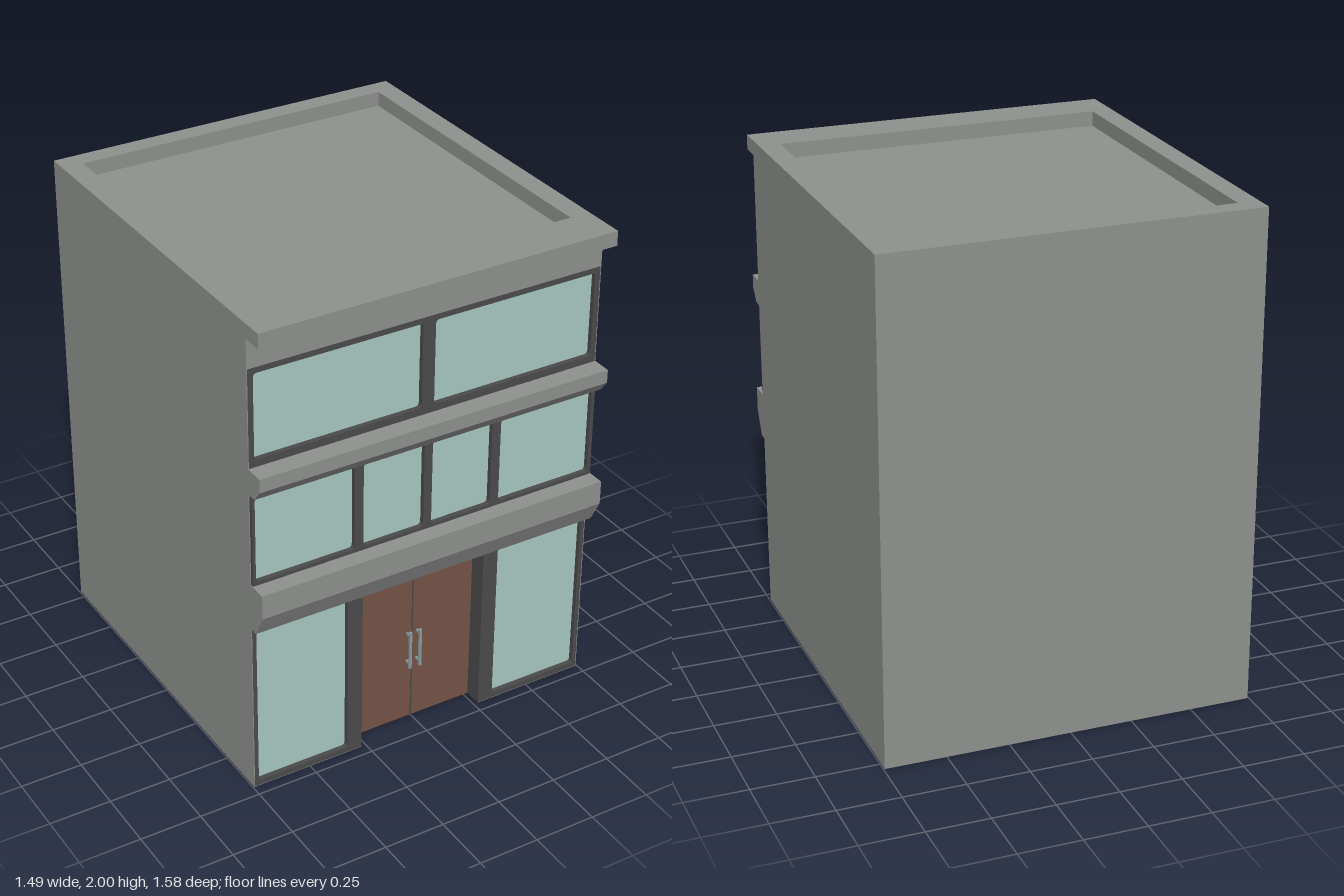
import * as THREE from 'three';

const mat = (name, color) => {
  const m = new THREE.MeshStandardMaterial({ color });
  m.name = name;
  return m;
};

// Key dimensions
const W = 0.745, SKIN = 0.003, IN = W - SKIN;
const BACK = -0.79, FRONT = 0.705, CORE = 0.68, LEDGE = 0.79;
const DOOR_W = 0.273, DOOR_H = 0.71, DOOR_Z = 0.63;

export function createModel() {
  const concrete = mat('concrete', 0x8e908e);
  const frame = mat('window frame', 0x4b4b4b);
  const glass = mat('glass', 0xa7c8c2);
  const wood = mat('door wood', 0x755246);
  const metal = mat('handle metal', 0x8c9ca0);

  const model = new THREE.Group();
  model.name = 'building';

  const add = (name, geometry, material) => {
    const mesh = new THREE.Mesh(geometry, material);
    mesh.name = name;
    model.add(mesh);
    return mesh;
  };
  // Box given by its limits on each axis
  const box = (name, material, x0, x1, y0, y1, z0, z1) => {
    const g = new THREE.BoxGeometry(x1 - x0, y1 - y0, z1 - z0);
    g.translate((x0 + x1) / 2, (y0 + y1) / 2, (z0 + z1) / 2);
    return add(name, g, material);
  };
  const polygon = (pts) => new THREE.Shape(pts.map(([a, b]) => new THREE.Vector2(a, b)));
  // Side profile of [z, y] points swept along x
  const sweep = (name, pts, x0, x1) => {
    const g = new THREE.ExtrudeGeometry(polygon(pts), { depth: x1 - x0, bevelEnabled: false });
    g.rotateY(-Math.PI / 2);
    g.translate(x1, 0, 0);
    return add(name, g, concrete);
  };
  const roundedHole = (x0, x1, y0, y1, r = 0.016) => {
    const p = new THREE.Path();
    p.moveTo(x0 + r, y0);
    p.lineTo(x1 - r, y0).quadraticCurveTo(x1, y0, x1, y0 + r);
    p.lineTo(x1, y1 - r).quadraticCurveTo(x1, y1, x1 - r, y1);
    p.lineTo(x0 + r, y1).quadraticCurveTo(x0, y1, x0, y1 - r);
    p.lineTo(x0, y0 + r).quadraticCurveTo(x0, y0, x0 + r, y0);
    return p;
  };
  // Frame panel with rounded openings and a glass pane set back in each
  const windowRow = (name, outline, spans, y0, y1, zFront) => {
    const shape = polygon(outline);
    spans.forEach(([x0, x1]) => shape.holes.push(roundedHole(x0, x1, y0, y1)));
    const g = new THREE.ExtrudeGeometry(shape, {
      depth: zFront - CORE, bevelEnabled: false, curveSegments: 5,
    });
    g.translate(0, 0, CORE);
    add(name + 'Frame', g, frame);
    spans.forEach(([x0, x1]) =>
      box(name + 'Glass', glass, x0 - 0.004, x1 + 0.004, y0 - 0.004, y1 + 0.004, zFront - 0.025, zFront - 0.02));
  };
  const rect = (y0, y1) => [[-IN, y0], [IN, y0], [IN, y1], [-IN, y1]];

  // Main block, with the ground floor split around the entrance
  box('upperBlock', concrete, -IN, IN, DOOR_H, 1.94, BACK, CORE);
  box('topBand', concrete, -IN, IN, 1.82, 1.94, CORE, FRONT);
  box('backWall', concrete, -DOOR_W, DOOR_W, 0, DOOR_H, BACK, BACK + 0.005);
  for (const s of [-1, 1]) {
    const span = (a, b) => (s > 0 ? [a, b] : [-b, -a]);
    box('groundBlock', concrete, ...span(DOOR_W, IN), 0, DOOR_H, BACK, CORE);
    box('groundSill', concrete, ...span(DOOR_W, IN), 0, 0.002, CORE, FRONT);
    box('doorJamb', frame, ...span(DOOR_W - 0.003, DOOR_W), 0, DOOR_H, DOOR_Z, FRONT);
  }
  box('doorLintel', frame, -DOOR_W, DOOR_W, DOOR_H - 0.003, DOOR_H, DOOR_Z, FRONT);

  // Ledges between the floors
  const lowerLedge = [[0.74, 0.735], [LEDGE, 0.83], [LEDGE, 0.93]];
  const upperLedge = [[0.745, 1.315], [0.785, 1.365], [0.785, 1.42]];
  sweep('lowerLedge', [[CORE, 0.735], ...lowerLedge, [CORE, 0.93]], -IN, IN);
  sweep('upperLedge', [[CORE, 1.315], ...upperLedge, [CORE, 1.42]], -IN, IN);

  // Side walls following the full outline
  const outline = [
    [BACK, 0], [FRONT, 0], [FRONT, 0.735], ...lowerLedge, [FRONT, 0.93],
    [FRONT, 1.315], ...upperLedge, [FRONT, 1.42], [FRONT, 1.94],
    [LEDGE, 1.94], [LEDGE, 2], [BACK, 2],
  ];
  sweep('leftWall', outline, IN, W);
  sweep('rightWall', outline, -W, -IN);

  // Parapet ring and front cornice around the sunken roof
  const ring = polygon([[-IN, -LEDGE], [IN, -LEDGE], [IN, -BACK], [-IN, -BACK]]);
  ring.holes.push(polygon([[-0.66, -0.615], [-0.66, 0.71], [0.66, 0.71], [0.66, -0.615]]));
  const parapet = new THREE.ExtrudeGeometry(ring, { depth: 0.06, bevelEnabled: false });
  parapet.rotateX(-Math.PI / 2);
  parapet.translate(0, 1.94, 0);
  add('parapet', parapet, concrete);

  // Windows, floor by floor
  windowRow('groundWindow', [
    [-IN, 0.002], [-DOOR_W, 0.002], [-DOOR_W, DOOR_H], [DOOR_W, DOOR_H],
    [DOOR_W, 0.002], [IN, 0.002], [IN, 0.735], [-IN, 0.735],
  ], [[-0.725, -0.335], [0.335, 0.725]], 0.025, 0.715, FRONT);
  windowRow('middleWindow', rect(0.93, 1.315),
    [[-0.73, -0.317], [-0.28, -0.02], [0.015, 0.277], [0.315, 0.727]], 0.945, 1.3, 0.72);
  windowRow('topWindow', rect(1.42, 1.82),
    [[-0.72, -0.028], [0.025, 0.72]], 1.45, 1.797, FRONT);

  // Double door with a dark centre seam and bar handles
  box('doors', wood, -DOOR_W, DOOR_W, 0, DOOR_H, BACK + 0.005, DOOR_Z);
  box('doorSeam', frame, -0.003, 0.003, 0.002, DOOR_H - 0.003, DOOR_Z, DOOR_Z + 0.002);
  for (const x of [-0.022, 0.022]) {
    box('handleBar', metal, x - 0.005, x + 0.005, 0.25, 0.42, DOOR_Z + 0.02, DOOR_Z + 0.03);
    for (const y of [0.265, 0.395])
      box('handleMount', metal, x - 0.004, x + 0.004, y, y + 0.01, DOOR_Z, DOOR_Z + 0.02);
  }
  return model;
}
